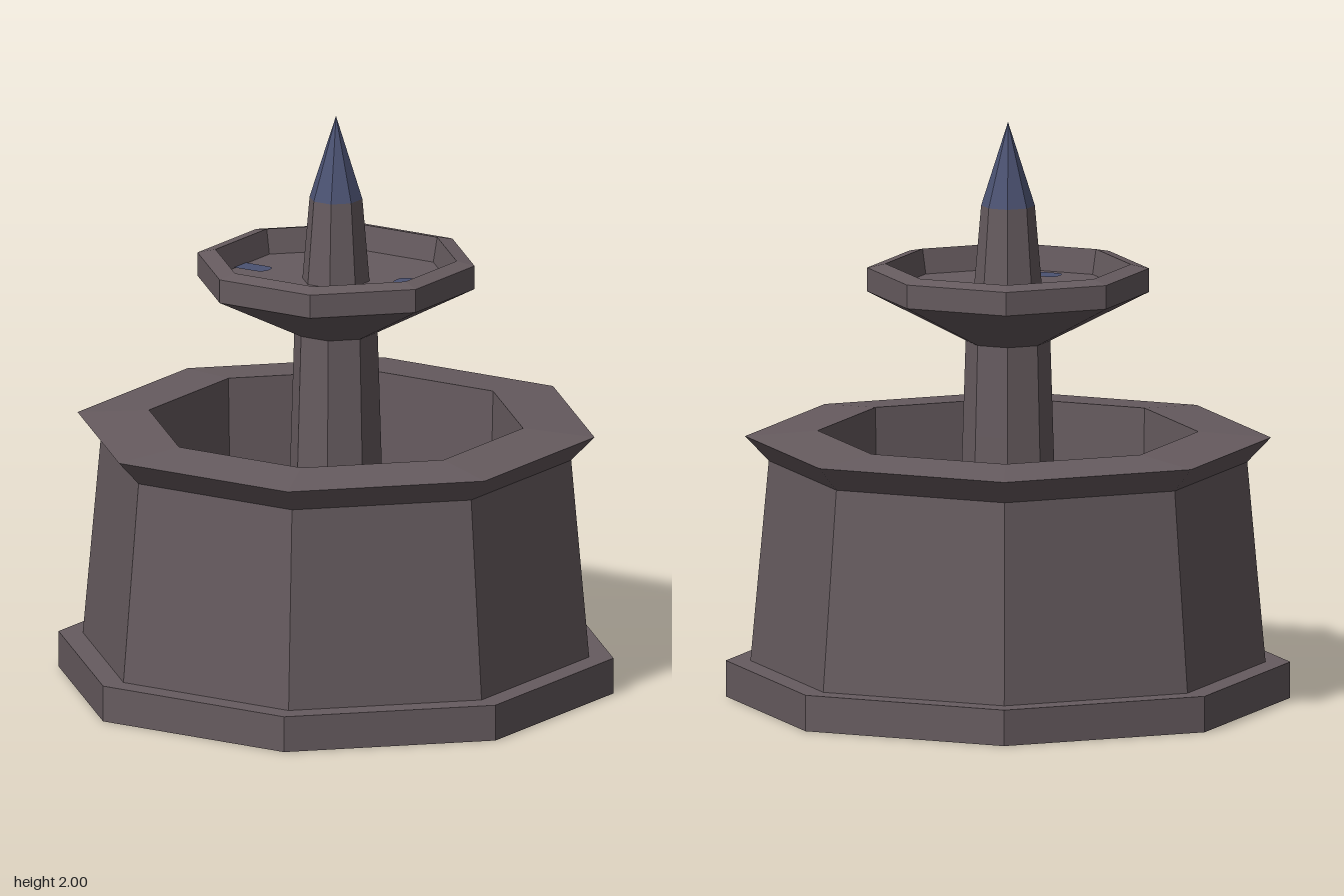
import * as THREE from 'three';

const stone = new THREE.MeshStandardMaterial({ color: 0x665b5f });
stone.name = 'stone';
const water = new THREE.MeshStandardMaterial({ color: 0x4b5272 });
water.name = 'water';

const SIDES = 8;
const TO_CORNER = 1 / Math.cos(Math.PI / SIDES);

// Faceted octagonal ring or solid from [apothem, height] pairs, flat side to the front
function octagon(name, material, profile) {
  const points = profile.map(([a, y]) => new THREE.Vector2(a * TO_CORNER, y));
  const geometry = new THREE.LatheGeometry(points, SIDES, Math.PI / SIDES).toNonIndexed();
  geometry.computeVertexNormals();
  const mesh = new THREE.Mesh(geometry, material);
  mesh.name = name;
  return mesh;
}

// Thin flat water glint with rounded corners, lying on a floor
function glint(x0, x1, z0, z1, y, radii) {
  const [nw, ne, se, sw] = radii; // seen from above
  const s = new THREE.Shape();
  s.moveTo(x0 + nw, -z0);
  s.lineTo(x1 - ne, -z0);
  s.quadraticCurveTo(x1, -z0, x1, -z0 - ne);
  s.lineTo(x1, -z1 + se);
  s.quadraticCurveTo(x1, -z1, x1 - se, -z1);
  s.lineTo(x0 + sw, -z1);
  s.quadraticCurveTo(x0, -z1, x0, -z1 + sw);
  s.lineTo(x0, -z0 - nw);
  s.quadraticCurveTo(x0, -z0, x0 + nw, -z0);
  const mesh = new THREE.Mesh(new THREE.ShapeGeometry(s, 4).rotateX(-Math.PI / 2), water);
  mesh.position.y = y + 0.004;
  mesh.name = 'waterGlint';
  return mesh;
}

export function createModel() {
  const model = new THREE.Group();
  model.name = 'fountain';
  const basinFloor = 0.15;
  const bowlFloor = 1.42;

  model.add(
    // Lower basin
    octagon('plinth', stone, [[0, 0], [0.893, 0], [0.893, 0.125], [0.7, 0.125]]),
    octagon('basinWall', stone, [[0.815, 0.125], [0.757, 0.82]]),
    octagon('basinRim', stone, [[0.757, 0.82], [0.832, 0.905], [0.602, 0.925]]),
    octagon('basinLining', stone, [[0.602, 0.925], [0.586, basinFloor], [0, basinFloor]]),
    // Column and upper bowl
    octagon('column', stone, [[0.165, basinFloor], [0.143, 0.925], [0.134, 1.24]]),
    octagon('bowl', stone, [
      [0, 1.24], [0.134, 1.24], [0.446, 1.41], [0.446, 1.492], [0.388, 1.506],
      [0.373, bowlFloor], [0, bowlFloor],
    ]),
    // Spire
    octagon('spirePost', stone, [[0.108, bowlFloor], [0.085, 1.71]]),
    octagon('spireTip', water, [[0.085, 1.71], [0, 2]]),
  );

  // Water glints on the basin floor
  const r = 0.06;
  model.add(
    glint(-0.13, 0.138, 0.505, 0.584, basinFloor, [r, r, 0, 0]),
    glint(-0.584, -0.508, -0.01, 0.14, basinFloor, [0, r, r, 0]),
    glint(0.335, 0.57, -0.268, -0.125, basinFloor, [r, 0, 0, r]),
  );

  // Water glints on the bowl floor
  const q = 0.035;
  model.add(
    glint(-0.07, 0.072, 0.245, 0.33, bowlFloor, [q, q, q, q]),
    glint(-0.371, -0.252, -0.006, 0.07, bowlFloor, [0, q, q, 0]),
    glint(0.182, 0.328, -0.142, -0.06, bowlFloor, [q, q, q, q]),
  );

  return model;
}
